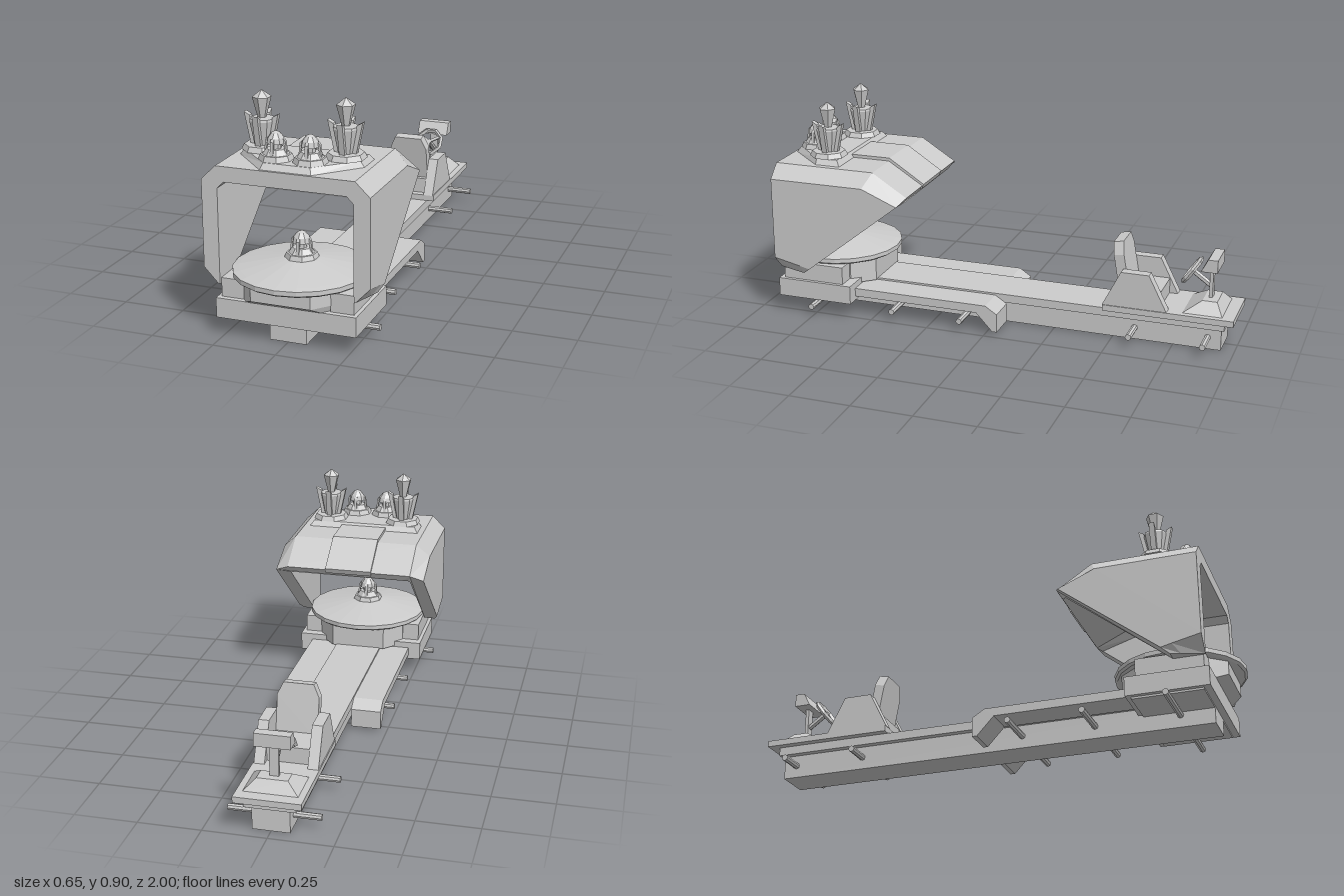
import * as THREE from 'three';

const mat = new THREE.MeshStandardMaterial({ color: 0xcccccc, flatShading: true, side: THREE.DoubleSide });

function add(parent, name, geo, x = 0, y = 0, z = 0) {
  const m = new THREE.Mesh(geo, mat);
  m.name = name;
  m.position.set(x, y, z);
  parent.add(m);
  return m;
}

// Box given by its limits
function box(parent, name, x0, x1, y0, y1, z0, z1) {
  return add(parent, name, new THREE.BoxGeometry(x1 - x0, y1 - y0, z1 - z0),
    (x0 + x1) / 2, (y0 + y1) / 2, (z0 + z1) / 2);
}

// Side profile of [z, y] points, extruded from x0 to x1
function sideProfile(parent, name, pts, x0, x1) {
  const shape = new THREE.Shape(pts.map(([z, y]) => new THREE.Vector2(-z, y)));
  const geo = new THREE.ExtrudeGeometry(shape, { depth: x1 - x0, bevelEnabled: false });
  geo.rotateY(Math.PI / 2);
  return add(parent, name, geo, x0, 0, 0);
}

// Skin over equal-length cross-sections, running from +z to -z, counter-clockwise seen from +z
function loft(sections) {
  const n = sections[0].length, index = [];
  for (let s = 0; s < sections.length - 1; s++) {
    for (let j = 0; j < n; j++) {
      const k = (j + 1) % n, a = s * n + j, b = s * n + k, c = b + n, d = a + n;
      index.push(a, d, b, b, d, c);
    }
  }
  const cap = (s, front) => {
    const pts = sections[s].map(p => new THREE.Vector2(p[0], p[1]));
    for (const [a, b, c] of THREE.ShapeUtils.triangulateShape(pts, [])) {
      const ccw = THREE.ShapeUtils.area([pts[a], pts[b], pts[c]]) > 0;
      const t = ccw === front ? [a, b, c] : [a, c, b];
      index.push(...t.map(i => i + s * n));
    }
  };
  cap(0, true);
  cap(sections.length - 1, false);
  const geo = new THREE.BufferGeometry();
  geo.setAttribute('position', new THREE.Float32BufferAttribute(sections.flat(2), 3));
  geo.setIndex(index);
  const flat = geo.toNonIndexed();
  flat.computeVertexNormals();
  return flat;
}

// Upright loft between plan outlines of [x, z] points at given heights
function planLoft(levels) {
  const geo = loft(levels.map(([y, pts]) => pts.map(([x, z]) => [x, -z, y])));
  return geo.rotateX(-Math.PI / 2);
}

// Short eight-sided plinth with flats facing front and sides
function plinth(parent, rBottom, rTop, y0, y1) {
  const g = new THREE.CylinderGeometry(rTop, rBottom, y1 - y0, 8).rotateY(Math.PI / 8);
  add(parent, 'lampPlinth', g, 0, (y0 + y1) / 2, 0);
}

function lathe(parent, name, pts, sides) {
  return add(parent, name, new THREE.LatheGeometry(pts.map(p => new THREE.Vector2(...p)), sides));
}

// Four radial fins from [radius, y] outlines
function fins(parent, name, pts, width) {
  for (let i = 0; i < 4; i++) {
    const fin = new THREE.Group();
    sideProfile(fin, name, pts, -width / 2, width / 2);
    fin.rotation.y = i * Math.PI / 2;
    parent.add(fin);
  }
}

// Small domed lamp, base at y = 0
function smallLamp(x, y, z) {
  const g = new THREE.Group();
  g.name = 'smallLamp';
  plinth(g, 0.066, 0.058, 0, 0.02);
  plinth(g, 0.05, 0.035, 0.02, 0.04);
  lathe(g, 'lampCore', [[0, 0.03], [0.02, 0.03], [0.02, 0.062], [0, 0.062]], 8);
  lathe(g, 'lampCap', [[0, 0.055], [0.036, 0.06], [0.031, 0.08], [0.017, 0.098], [0, 0.106]], 8);
  fins(g, 'lampStrut', [[0.038, 0.02], [0.045, 0.02], [0.039, 0.07], [0.031, 0.08], [0.032, 0.06]], 0.012);
  g.position.set(x, y, z);
  return g;
}

// Tall lamp with flared fins and a crystal, base at y = 0
function tallLamp(x, y, z) {
  const g = new THREE.Group();
  g.name = 'tallLamp';
  plinth(g, 0.078, 0.068, 0, 0.02);
  lathe(g, 'lampBody', [[0, 0.02], [0.032, 0.02], [0.05, 0.11], [0.048, 0.118], [0, 0.122]], 8);
  fins(g, 'lampFin', [[0.025, 0.02], [0.043, 0.02], [0.068, 0.138], [0.046, 0.126], [0.04, 0.1]], 0.022);
  lathe(g, 'lampCrystal', [[0, 0.115], [0.016, 0.12], [0.036, 0.198], [0, 0.225]], 6);
  g.position.set(x, y, z);
  return g;
}

export function createModel() {
  const model = new THREE.Group();
  model.name = 'vehicle';

  // Chassis: beam, deck and rear platform
  box(model, 'beam', -0.073, 0.073, 0, 0.095, -0.945, 0.88);
  box(model, 'deck', -0.1, 0.1, 0.095, 0.13, -0.96, 0.6);
  box(model, 'rearPlatform', -0.13, 0.13, 0.13, 0.155, -1, -0.467);
  for (const s of [-1, 1]) {
    const x0 = s > 0 ? 0.1 : -0.225;
    sideProfile(model, 'sideWing', [[0.6, 0.122], [0, 0.122], [-0.05, 0.09], [-0.05, 0.012],
      [-0.03, 0.012], [0.04, 0.087], [0.6, 0.087]], x0, x0 + 0.125);
  }

  // Axles: [z, half length]
  for (const [z, half] of [[0.745, 0.313], [0.405, 0.255], [0.105, 0.255], [-0.59, 0.18], [-0.89, 0.18]]) {
    add(model, 'axle', new THREE.CylinderGeometry(0.013, 0.013, half * 2, 8).rotateZ(Math.PI / 2), 0, 0.05, z);
  }

  // Front base
  box(model, 'basePlate', -0.258, 0.258, 0.062, 0.075, 0.6, 0.88);
  box(model, 'frontBase', -0.277, 0.277, 0.07, 0.148, 0.58, 0.907);
  for (const s of [-1, 1]) {
    box(model, 'hoodSupport', s > 0 ? 0.17 : -0.262, s > 0 ? 0.262 : -0.17, 0.148, 0.222, 0.62, 0.886);
  }

  // Eight-sided pedestal with an undercut front, carrying the turntable
  const octagon = (fx, fz) => [[0.117, 0.53], [-0.117, 0.53], [-0.19, 0.615], [-0.19, 0.865],
    [-fx, fz], [fx, fz], [0.19, 0.865], [0.19, 0.615]];
  add(model, 'pedestal', planLoft([[0.23, octagon(0.117, 0.95)], [0.172, octagon(0.117, 0.95)],
    [0.127, octagon(0.16, 0.872)]]));
  lathe(model, 'turntable', [[0, 0.225], [0.25, 0.225], [0.26, 0.232], [0.26, 0.25], [0.235, 0.256],
    [0.07, 0.288], [0, 0.288]], 20).position.z = 0.74;
  model.add(smallLamp(0, 0.286, 0.74));

  // Hood: right half of the arch, outer then inner corners, each at front, bend and rear
  const outer = [
    [[0.27, 0.2, 0.895], [0.3, 0.2, 0.81], [0.312, 0.2, 0.77]],
    [[0.327, 0.26, 0.895], [0.327, 0.235, 0.78], [0.327, 0.225, 0.738]],
    [[0.327, 0.602, 0.895], [0.327, 0.602, 0.49], [0.327, 0.54, 0.34]],
    [[0.27, 0.657, 0.895], [0.27, 0.657, 0.465], [0.27, 0.565, 0.318]],
  ];
  const inner = [
    [[0.238, 0.598, 0.895], [0.238, 0.598, 0.47], [0.238, 0.537, 0.335]],
    [[0.264, 0.572, 0.895], [0.264, 0.572, 0.49], [0.264, 0.53, 0.353]],
    [[0.264, 0.2, 0.895], [0.264, 0.2, 0.81], [0.264, 0.2, 0.77]],
  ];
  const mirror = list => list.map(c => c.map(([x, y, z]) => [-x, y, z])).reverse();
  const corners = [...outer, ...mirror(outer), ...mirror(inner), ...inner];
  add(model, 'hood', loft([0, 1, 2].map(s => corners.map(c => c[s]))));
  sideProfile(model, 'roofStrip', [[0.64, 0.65], [0.64, 0.67], [0.463, 0.67], [0.312, 0.572],
    [0.322, 0.55], [0.47, 0.645]], -0.1, 0.1);

  // Roof pad and lamps
  const pad = d => [[0.247 - d, 0.622 + d], [-0.247 + d, 0.622 + d], [-0.247 + d, 0.73],
    [-0.1 + d / 2, 0.887 - d], [0.1 - d / 2, 0.887 - d], [0.247 - d, 0.73]];
  add(model, 'roofPad', planLoft([[0.68, pad(0.018)], [0.654, pad(0)]]));
  for (const s of [-1, 1]) {
    model.add(tallLamp(s * 0.165, 0.68, 0.705));
    model.add(smallLamp(s * 0.067, 0.68, 0.805));
  }

  // Seat facing the rear controls
  for (const x0 of [-0.126, 0.084]) {
    sideProfile(model, 'seatSide', [[-0.465, 0.155], [-0.54, 0.303], [-0.655, 0.303], [-0.73, 0.155]], x0, x0 + 0.042);
  }
  box(model, 'seatCushion', -0.084, 0.084, 0.155, 0.22, -0.695, -0.5);
  const backOutline = [[-0.083, -0.22], [0.083, -0.22], [0.083, -0.05], [0.06, 0], [-0.06, 0], [-0.083, -0.05]];
  const back = new THREE.ExtrudeGeometry(new THREE.Shape(backOutline.map(p => new THREE.Vector2(...p))),
    { depth: 0.042, bevelEnabled: false });
  add(model, 'seatBack', back, 0, 0.412, -0.532).rotation.x = 0.17;

  // Control console with post and screen
  const rect = (x, z0, z1) => [[x, z0], [-x, z0], [-x, z1], [x, z1]];
  add(model, 'console', planLoft([[0.2, rect(0.06, -0.92, -0.86)], [0.155, rect(0.105, -0.95, -0.79)]]));
  box(model, 'consolePost', -0.018, 0.018, 0.195, 0.33, -0.892, -0.878);
  sideProfile(model, 'screen', [[-0.85, 0.325], [-0.878, 0.378], [-0.917, 0.378], [-0.917, 0.325]], -0.07, 0.07);

  // Steering wheel
  const wheel = new THREE.Group();
  wheel.name = 'steeringWheel';
  add(wheel, 'wheelRim', new THREE.TorusGeometry(0.058, 0.01, 4, 8).rotateZ(Math.PI / 8));
  for (let i = 0; i < 3; i++) {
    const spoke = add(wheel, 'wheelSpoke', new THREE.BoxGeometry(0.012, 0.058, 0.008).translate(0, 0.029, 0));
    spoke.rotation.z = Math.PI + i * Math.PI * 2 / 3;
  }
  add(wheel, 'wheelColumn', new THREE.CylinderGeometry(0.012, 0.012, 0.1, 6).rotateX(Math.PI / 2), 0, 0, -0.045);
  wheel.position.set(0, 0.302, -0.803);
  wheel.rotation.x = -0.62;
  model.add(wheel);

  return model;
}
